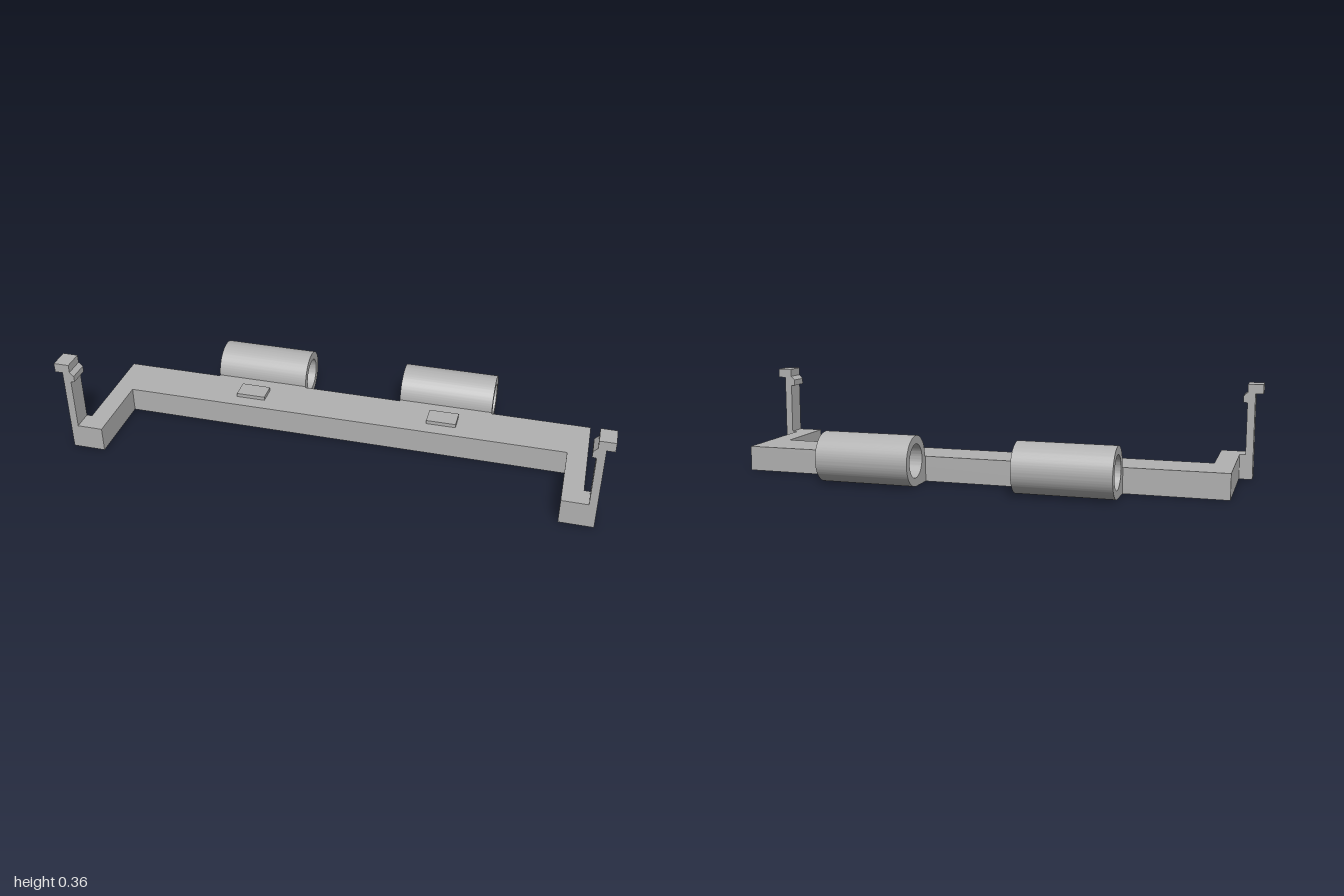
import * as THREE from 'three';
import { toCreasedNormals } from 'three/addons/utils/BufferGeometryUtils.js';

const BASE_H = 0.0945;   // thickness of the frame
const BACK = -0.134;     // rear edge of the frame
const FOOT_Z = 0.256;    // where the clip feet begin
const FRONT = 0.331;

const polygon = (points) => new THREE.Shape(points.map(([x, y]) => new THREE.Vector2(x, y)));

const extrude = (shape, depth) =>
  new THREE.ExtrudeGeometry(shape, { depth, bevelEnabled: false, curveSegments: 48 });

export function createModel() {
  const model = new THREE.Group();
  model.name = 'clipBracket';
  const grey = new THREE.MeshStandardMaterial({ color: 0xb2b2b2 });
  grey.name = 'grey plastic';

  const add = (name, geometry) => {
    const mesh = new THREE.Mesh(geometry, grey);
    mesh.name = name;
    model.add(mesh);
    return mesh;
  };

  // U-shaped frame: long bar with two forward arms, drawn as (x, -z)
  const frame = polygon([
    [-0.922, -BACK], [-0.922, -FOOT_Z], [-0.848, -FOOT_Z], [-0.848, -0.047],
    [0.848, -0.047], [0.848, -FOOT_Z], [0.922, -FOOT_Z], [0.922, -BACK],
  ]);
  add('frame', extrude(frame, BASE_H).rotateX(-Math.PI / 2));

  // Hinge barrel side profile, drawn as (-z, y): ring blended into the frame
  const cz = 0.2345, radius = 0.0935;
  const barrel = new THREE.Shape();
  barrel.moveTo(-BACK, 0);
  barrel.lineTo(cz, 0);
  barrel.absarc(cz, BASE_H, radius, -Math.PI / 2, Math.PI, false);
  barrel.lineTo(-BACK, BASE_H);
  barrel.closePath();
  const bore = new THREE.Path();
  bore.absarc(cz, BASE_H, 0.0625, 0, Math.PI * 2, true);
  barrel.holes.push(bore);

  for (const side of [1, -1]) {
    const label = side > 0 ? 'left' : 'right';

    // Clip: foot, upright post, inner tooth and outward lip
    const clip = polygon([
      [0.848, 0], [0.971, 0], [0.971, 0.325], [1, 0.325], [1, 0.36], [0.943, 0.36],
      [0.943, 0.33], [0.928, 0.315], [0.928, 0.292], [0.943, 0.29],
      [0.943, BASE_H], [0.848, BASE_H],
    ].map(([x, y]) => [x * side, y]));
    add(label + 'Clip', extrude(clip, FRONT - FOOT_Z)).position.z = FOOT_Z;

    // Hinge barrel
    const hinge = toCreasedNormals(extrude(barrel, 0.358).rotateY(Math.PI / 2), 0.5);
    add(label + 'HingeBarrel', hinge).position.x = side * 0.37 - 0.179;

    // Raised locating pad
    add(label + 'Pad', new THREE.BoxGeometry(0.112, 0.014, 0.074))
      .position.set(side * 0.375, BASE_H + 0.007, -0.044);
  }
  return model;
}
